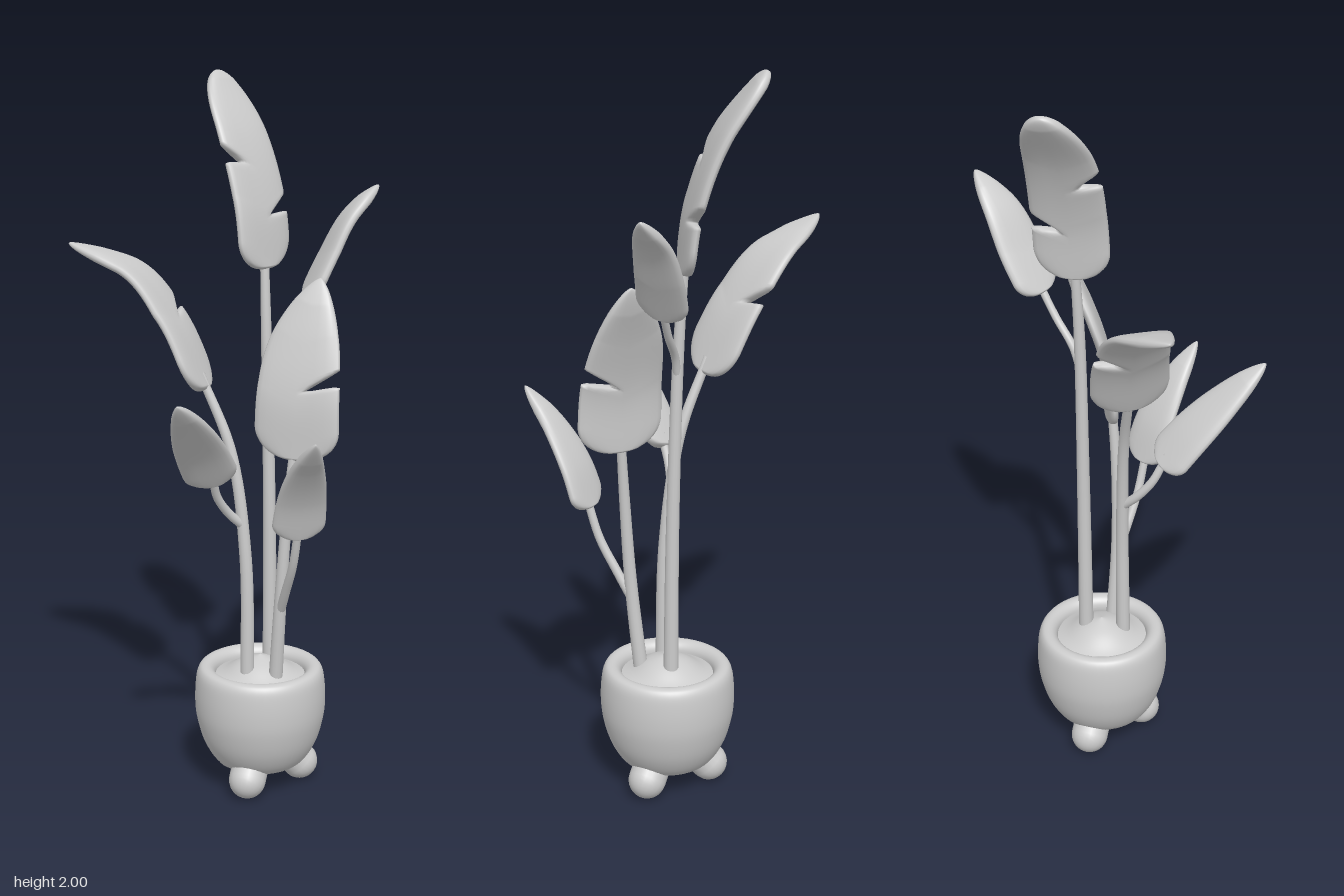
import * as THREE from 'three';

const V = (p) => new THREE.Vector3(...p);
const material = new THREE.MeshStandardMaterial({ color: 0xcccccc, side: THREE.DoubleSide });
const POT = [0.066, 0, -0.086]; // pot axis

function mesh(geometry, name) {
  const m = new THREE.Mesh(geometry, material);
  m.name = name;
  return m;
}

// Skin a list of closed rings, each with the same number of points
function loft(rings) {
  const n = rings[0].length, index = [];
  for (let i = 0; i < rings.length - 1; i++) {
    for (let j = 0; j < n; j++) {
      const a = i * n + j, b = i * n + (j + 1) % n;
      index.push(a, b, a + n, b, b + n, a + n);
    }
  }
  const g = new THREE.BufferGeometry().setFromPoints(rings.flat());
  g.setIndex(index);
  g.computeVertexNormals();
  return g;
}

// Round stem tapering from r0 to r1 along a curve
function stem(name, points, r0, r1) {
  const curve = new THREE.CatmullRomCurve3(points.map(V));
  const rows = 28, sides = 14, rings = [];
  for (let i = 0; i <= rows; i++) {
    const t = i / rows, r = r0 + (r1 - r0) * t;
    const c = curve.getPoint(t), T = curve.getTangent(t);
    const S = new THREE.Vector3(1, 0, 0).addScaledVector(T, -T.x).normalize();
    const N = T.clone().cross(S);
    rings.push(Array.from({ length: sides }, (_, j) => {
      const a = j / sides * Math.PI * 2;
      return c.clone().addScaledVector(S, r * Math.cos(a)).addScaledVector(N, r * Math.sin(a));
    }));
  }
  return mesh(loft(rings), name);
}

// Puffy leaf: midrib curve, sideways direction, half width, tip shape (p, q)
// and V-shaped splits given as { sign, at, keep }
function leaf(name, { rib, side, width, tip = [2.2, 0.7], splits = [], slant = 0.5, thick = 0.017 }) {
  const curve = new THREE.CatmullRomCurve3(rib.map(V));
  const rows = 120, sides = 20, rings = [];
  const pow = (v, e) => Math.sign(v) * Math.abs(v) ** e;
  for (let i = 0; i <= rows; i++) {
    const t = (1 - Math.cos(Math.PI * i / rows)) / 2;
    const c = curve.getPoint(t), T = curve.getTangent(t);
    const S = V(side).addScaledVector(T, -V(side).dot(T)).normalize();
    const N = T.clone().cross(S);
    const base = Math.sqrt(1 - (1 - Math.min(1, t / 0.13)) ** 2);
    const outline = base * Math.max(0, 1 - t ** tip[0]) ** tip[1];
    const half = (sign) => splits.filter((s) => s.sign === sign).reduce((w, s) =>
      w * Math.min(1, s.keep + (1 - s.keep) * Math.abs(t - s.at) / 0.04), width * outline);
    const right = half(1), left = half(-1);
    const h = thick * Math.min(1, outline * 2.2) ** 0.7;
    rings.push(Array.from({ length: sides }, (_, j) => {
      const a = j / sides * Math.PI * 2, x = Math.cos(a);
      const u = pow(x, 0.75) * (x > 0 ? right : left);
      return c.clone().addScaledVector(S, u)
        .addScaledVector(N, h * pow(Math.sin(a), 0.75))
        .addScaledVector(T, slant * Math.abs(u) * Math.sin(Math.PI * t));
    }));
  }
  return mesh(loft(rings), name);
}

function lathe(name, points, divisions) {
  const pts = new THREE.SplineCurve(points.map((p) => new THREE.Vector2(...p))).getPoints(divisions);
  pts.forEach((p) => { p.x = Math.max(0, p.x); });
  const m = mesh(new THREE.LatheGeometry(pts, 48), name);
  m.position.set(...POT);
  return m;
}

export function createModel() {
  const model = new THREE.Group();
  model.name = 'pottedPlant';

  // Pot with rounded rim, and mounded soil
  model.add(lathe('pot', [[0, 0.065], [0.08, 0.066], [0.125, 0.085], [0.16, 0.14], [0.18, 0.21], [0.185, 0.27],
    [0.181, 0.33], [0.172, 0.357], [0.157, 0.365], [0.14, 0.361], [0.128, 0.345], [0.125, 0.315]], 60));
  model.add(lathe('soil', [[0.13, 0.335], [0.1, 0.348], [0.055, 0.375], [0, 0.395]], 16));

  // Three splayed feet
  for (let k = 0; k < 3; k++) {
    const pivot = new THREE.Group();
    pivot.name = 'foot';
    pivot.position.set(...POT);
    pivot.rotation.y = k * Math.PI * 2 / 3;
    const foot = mesh(new THREE.CapsuleGeometry(0.052, 0.07, 8, 20), 'footPad');
    foot.position.set(0.092, 0.083, 0);
    foot.rotation.z = 0.75;
    pivot.add(foot);
    model.add(pivot);
  }

  // Main stems
  model.add(stem('tallStem', [[0.1, 0.33, -0.115], [0.098, 0.8, -0.118], [0.09, 1.3, -0.13], [0.087, 1.53, -0.145]], 0.021, 0.012));
  model.add(stem('leftStem', [[0.02, 0.33, -0.045], [0.016, 0.7, -0.05], [-0.02, 1.0, -0.075], [-0.095, 1.21, -0.12]], 0.02, 0.012));
  model.add(stem('frontStem', [[0.095, 0.33, -0.02], [0.103, 0.6, 0.008], [0.118, 0.85, 0.018], [0.138, 1.05, 0.018]], 0.02, 0.012));

  // Side stems branching from the main ones
  model.add(stem('rightBranch', [[0.09, 1.2, -0.127], [0.115, 1.27, -0.132], [0.17, 1.34, -0.142], [0.225, 1.43, -0.155]], 0.011, 0.01));
  model.add(stem('leftBranch', [[0.01, 0.79, -0.055], [-0.035, 0.835, -0.04], [-0.07, 0.89, -0.015], [-0.09, 0.97, 0.02]], 0.013, 0.011));
  model.add(stem('frontBranch', [[0.102, 0.55, 0.003], [0.108, 0.63, 0.05], [0.116, 0.72, 0.098], [0.122, 0.84, 0.135]], 0.013, 0.011));

  // Leaves
  model.add(leaf('tallLeaf', {
    rib: [[0.092, 1.485, -0.145], [0.08, 1.65, -0.165], [0.045, 1.83, -0.22], [-0.008, 2.0, -0.325]],
    side: [0.8, 0, -0.6], width: 0.1, tip: [4, 0.5],
    splits: [{ sign: 1, at: 0.27, keep: 0.2 }, { sign: -1, at: 0.52, keep: 0.35 }],
  }));
  model.add(leaf('rightLeaf', {
    rib: [[0.21, 1.4, -0.15], [0.265, 1.5, -0.17], [0.33, 1.61, -0.185], [0.418, 1.695, -0.2]],
    side: [0, 0, -1], width: 0.072,
  }));
  model.add(leaf('centerLeaf', {
    rib: [[0.14, 0.99, 0.02], [0.145, 1.15, 0.012], [0.17, 1.3, -0.02], [0.225, 1.47, -0.065]],
    side: [0.82, 0, 0.57], width: 0.122, tip: [2.6, 0.7],
    splits: [{ sign: 1, at: 0.38, keep: 0.1 }],
  }));
  model.add(leaf('leftLeaf', {
    rib: [[-0.085, 1.165, -0.11], [-0.15, 1.33, -0.165], [-0.25, 1.47, -0.225], [-0.425, 1.55, -0.285]],
    side: [0.46, 0, -0.89], width: 0.105, slant: 0.7,
    splits: [{ sign: 1, at: 0.36, keep: 0.25 }],
  }));
  model.add(leaf('lowLeftLeaf', {
    rib: [[-0.08, 0.935, 0.005], [-0.125, 1.03, 0.07], [-0.17, 1.12, 0.15], [-0.222, 1.218, 0.25]],
    side: [0.9, 0.27, 0.235], width: 0.075, slant: 0.2,
  }));
  model.add(leaf('lowFrontLeaf', {
    rib: [[0.122, 0.805, 0.122], [0.122, 0.92, 0.165], [0.12, 1.02, 0.23], [0.12, 1.12, 0.325]],
    side: [1, 0, 0], width: 0.074, tip: [2, 0.75], slant: 0.1,
  }));
  return model;
}
